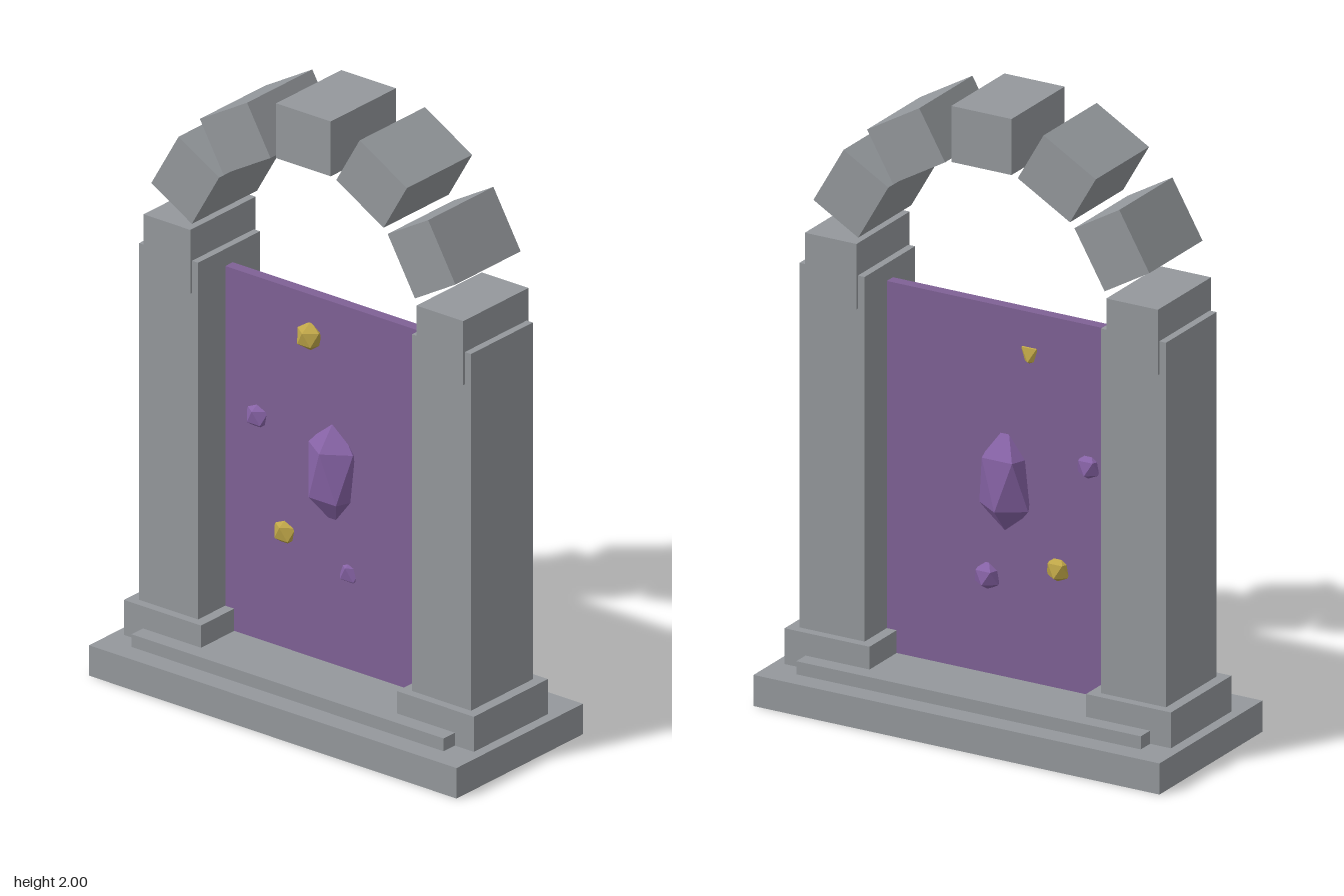
import * as THREE from 'three';

export function createModel() {
  const model = new THREE.Group();
  model.name = 'stonePortal';

  const material = (name, color) => {
    const m = new THREE.MeshStandardMaterial({ color });
    m.name = name;
    return m;
  };
  const stone = material('stone', 0x94989c);
  const veil = material('portalPurple', 0x7f6195);
  const crystal = material('crystalPurple', 0x8763a6);
  const gold = material('gold', 0xbfa648);

  const add = (name, geometry, mat, x, y, z = 0) => {
    const mesh = new THREE.Mesh(geometry, mat);
    mesh.name = name;
    mesh.position.set(x, y, z);
    model.add(mesh);
    return mesh;
  };
  // Box given by its centre x, bottom, top, width and depth
  const block = (name, mat, x, y0, y1, w, d) =>
    add(name, new THREE.BoxGeometry(w, y1 - y0, d), mat, x, (y0 + y1) / 2);

  // Base and step
  block('base', stone, 0, 0, 0.1, 1.414, 0.6);
  block('step', stone, 0, 0.1, 0.142, 1.2, 0.46);

  // Plinths and pillars
  for (const [side, s] of [['left', 1], ['right', -1]]) {
    block(side + 'Plinth', stone, s * 0.525, 0.1, 0.215, 0.296, 0.352);
    block(side + 'Pillar', stone, s * 0.525, 0.215, 1.386, 0.227, 0.294);
  }

  // Arch of seven separate blocks along a half circle
  const radius = 0.525, springY = 1.385;
  for (let i = 0; i < 7; i++) {
    const a = (i * Math.PI) / 6;
    const stoneBlock = add('archBlock' + (i + 1), new THREE.BoxGeometry(0.21, 0.18, 0.31), stone,
      radius * Math.cos(a), springY + radius * Math.sin(a));
    stoneBlock.rotation.z = a - Math.PI / 2;
  }

  // Glowing panel between the pillars
  block('portalPanel', veil, 0, 0.13, 1.33, 0.826, 0.036);

  // Icosahedron standing on a vertex, stretched by the given radii
  const gem = (rx, ry, rz) => {
    const g = new THREE.IcosahedronGeometry(1, 0);
    g.rotateZ(-Math.atan(2 / (1 + Math.sqrt(5))));
    g.rotateY(-Math.PI / 2);
    g.scale(rx, ry, rz);
    g.computeVertexNormals();
    return g;
  };

  // Central crystal and the small gems, all set through the panel
  add('centralCrystal', gem(0.1, 0.18, 0.09), crystal, 0, 0.77);
  const r = 0.048;
  add('upperGoldGem', gem(r, r, r), gold, -0.085, 1.193, 0.014);
  add('lowerGoldGem', gem(r, r, r), gold, -0.184, 0.522, 0);
  add('upperPurpleGem', gem(r, r, r), crystal, -0.29, 0.873, 0);
  add('lowerPurpleGem', gem(r, r, r), crystal, 0.061, 0.455, -0.01);

  return model;
}
